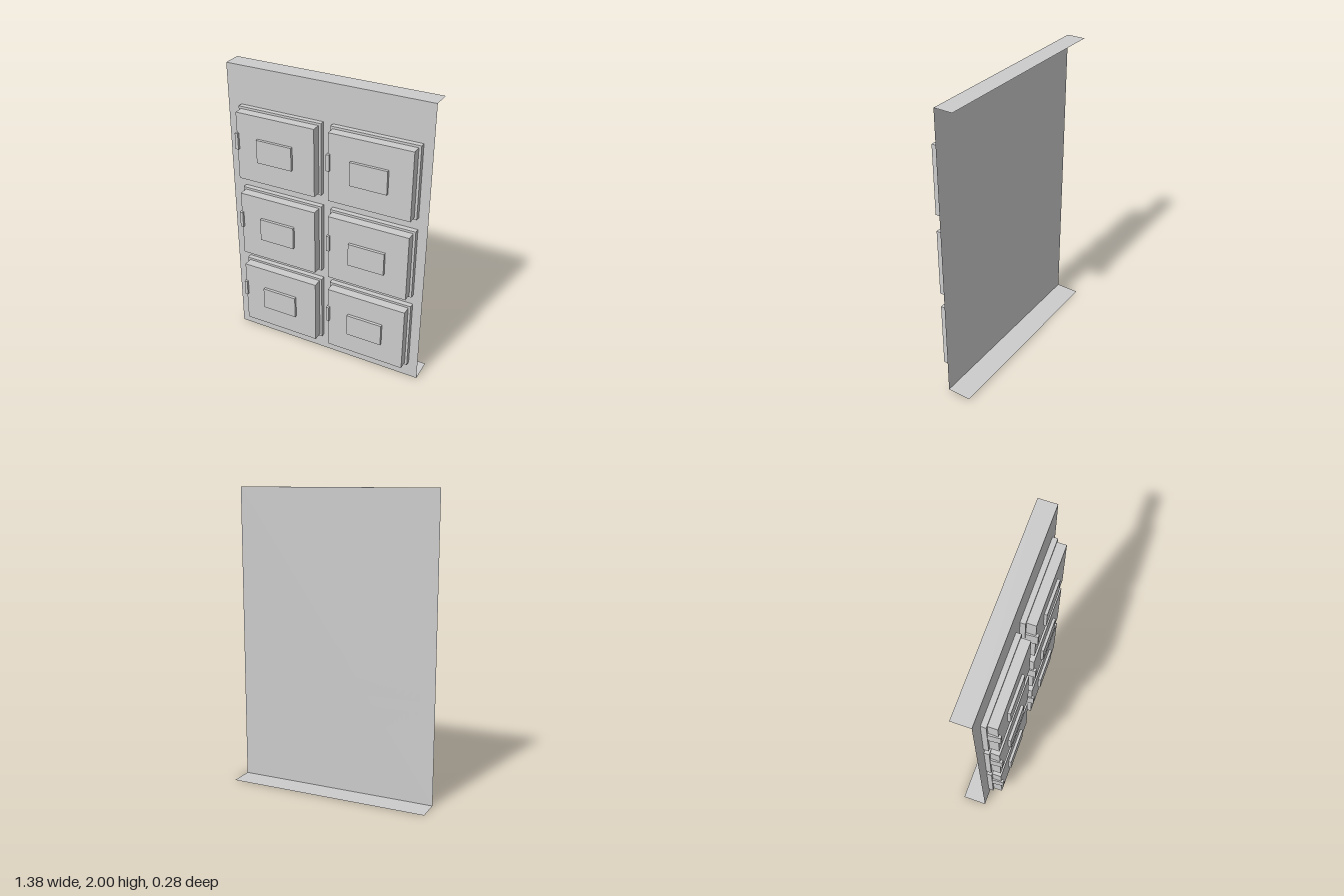
import * as THREE from 'three';

const solid = new THREE.MeshStandardMaterial({ color: 0xcccccc, flatShading: true });
const sheet = new THREE.MeshStandardMaterial({ color: 0xcccccc, flatShading: true, side: THREE.DoubleSide });

const WIDTH = 1.38, HEIGHT = 2, FACE_Z = 0.022;

function add(parent, name, geometry, material, x, y, z) {
  const mesh = new THREE.Mesh(geometry, material);
  mesh.name = name;
  mesh.position.set(x, y, z);
  parent.add(mesh);
  return mesh;
}

// Box spanning z0..z1, centred on the locker unit
function slab(parent, name, w, h, z0, z1) {
  add(parent, name, new THREE.BoxGeometry(w, h, z1 - z0), solid, 0, 0, (z0 + z1) / 2);
}

// Slanted hinge hooked around the door edge: outline in x and z, extruded upwards
function hingeGeometry(height) {
  const outline = [[-0.287, 0.045], [-0.28, 0.133], [-0.259, 0.133], [-0.259, 0.112], [-0.273, 0.112], [-0.273, 0.045]];
  const shape = new THREE.Shape(outline.map(([x, z]) => new THREE.Vector2(x, -z)));
  return new THREE.ExtrudeGeometry(shape, { depth: height, bevelEnabled: false })
    .rotateX(-Math.PI / 2)
    .translate(0, -height / 2, 0);
}

function createCompartment() {
  const unit = new THREE.Group();
  unit.name = 'compartment';
  slab(unit, 'doorFrame', 0.58, 0.49, FACE_Z, 0.056);
  slab(unit, 'door', 0.548, 0.46, 0.056, 0.117);
  slab(unit, 'labelPlate', 0.247, 0.157, 0.117, 0.136);
  add(unit, 'hinge', hingeGeometry(0.11), solid, 0, 0.037, 0);
  return unit;
}

export function createModel() {
  const model = new THREE.Group();
  model.name = 'lockerPanel';

  // Thin face sheet with flanges folded backwards at top and bottom
  add(model, 'facePanel', new THREE.PlaneGeometry(WIDTH, HEIGHT), sheet, 0, HEIGHT / 2, FACE_Z);
  for (const [name, y, backZ] of [['topFlange', HEIGHT, -0.1], ['bottomFlange', 0, -0.14]]) {
    const flange = new THREE.PlaneGeometry(WIDTH, FACE_Z - backZ).rotateX(-Math.PI / 2);
    add(model, name, flange, sheet, 0, y, (FACE_Z + backZ) / 2);
  }

  // Two columns of three compartments
  for (const x of [-0.306, 0.337]) {
    for (const y of [0.362, 0.925, 1.499]) {
      const unit = createCompartment();
      unit.position.set(x, y, 0);
      model.add(unit);
    }
  }
  return model;
}
